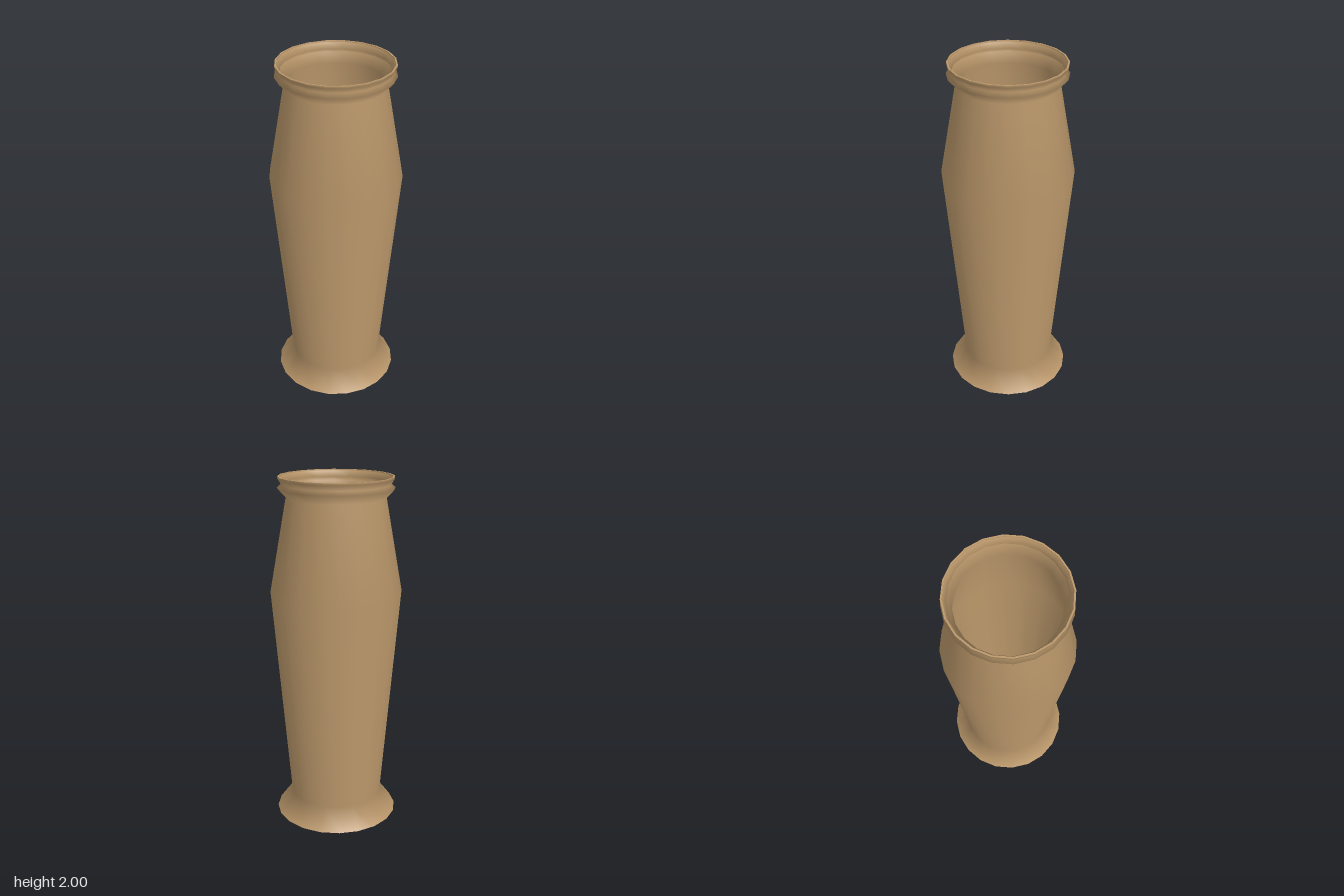
import * as THREE from 'three';

const SIDES = 20;

export function createModel() {
  const group = new THREE.Group();
  group.name = 'vase';
  const clay = new THREE.MeshStandardMaterial({ color: 0xba976a, side: THREE.DoubleSide });

  // Turn a [radius, height] profile around the vertical axis
  const turn = (name, profile) => {
    const points = profile.map(([r, y]) => new THREE.Vector2(r, y));
    const mesh = new THREE.Mesh(new THREE.LatheGeometry(points, SIDES), clay);
    mesh.name = name;
    group.add(mesh);
  };

  // Outer wall: flared foot, waist, shoulder, neck, collar ridge, lip
  const outer = [
    [0.355, 0.012], [0.267, 0.13], [0.37, 1.36], [0.275, 1.885],
    [0.322, 1.937], [0.3, 1.958], [0.318, 1.988], [0.318, 2],
  ];
  turn('outerWall', outer);

  // Inner wall follows the outer one a thin wall thickness inside, from lip to floor
  const inner = [
    [0.309, 2], [0.309, 1.99], [0.291, 1.96], [0.312, 1.937],
    [0.268, 1.888], [0.362, 1.36], [0.262, 0.13], [0.34, 0.025],
  ];
  turn('innerWall', inner);

  // Flat top of the lip
  turn('lip', [[0.318, 2], [0.309, 2]]);

  // Floor inside and slightly domed underside
  turn('floor', [[0.34, 0.025], [0, 0.025]]);
  turn('underside', [[0, 0], [0.355, 0.012]]);

  return group;
}
